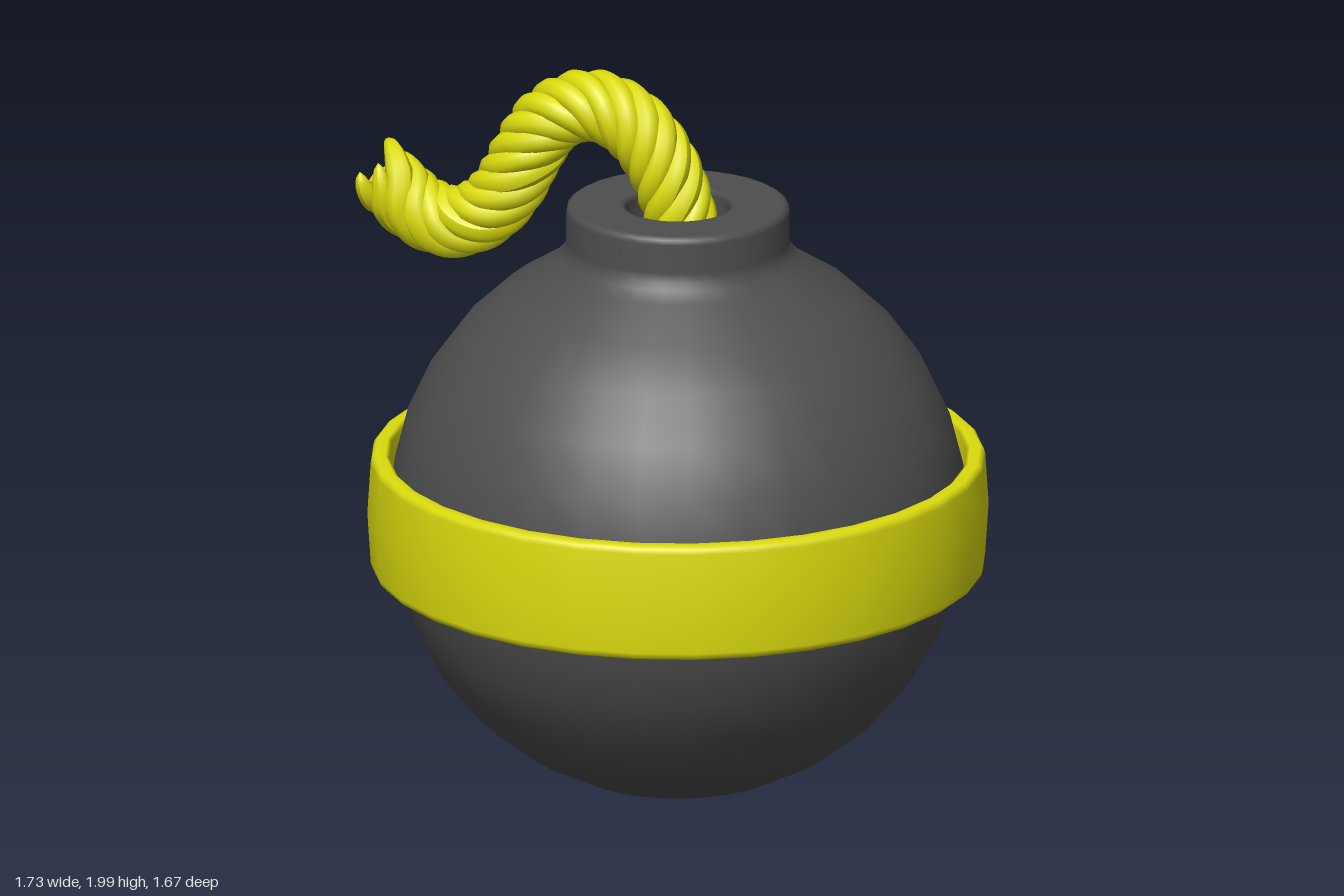
import * as THREE from 'three';

const iron = new THREE.MeshStandardMaterial({ color: 0x4e4e4e });
iron.name = 'dark iron';
const yellow = new THREE.MeshStandardMaterial({ color: 0xdcdc0e, side: THREE.DoubleSide });
yellow.name = 'yellow';

const CX = 0.05; // the round body sits slightly left of the origin
const STRANDS = 6;
const TURNS = 3.6;

const lathe = (name, profile, material) => {
  const geometry = new THREE.LatheGeometry(profile.map(([r, y]) => new THREE.Vector2(r, y)), 32);
  const mesh = new THREE.Mesh(geometry, material);
  mesh.name = name;
  mesh.position.x = CX;
  return mesh;
};

// Centre line of the fuse, lying in the z = 0 plane
const fusePath = new THREE.CatmullRomCurve3([
  [0.08, 1.46], [0.055, 1.62], [0, 1.765], [-0.09, 1.867], [-0.2, 1.9], [-0.305, 1.855],
  [-0.37, 1.765], [-0.42, 1.665], [-0.495, 1.57], [-0.6, 1.527], [-0.7, 1.56],
  [-0.77, 1.625], [-0.83, 1.66],
].map(([x, y]) => new THREE.Vector3(x, y, 0)), false, 'centripetal');

// One strand winding round the fuse centre line
class StrandCurve extends THREE.Curve {
  constructor(phase, end) {
    super();
    this.phase = phase;
    this.end = end;
  }
  getPoint(t, target = new THREE.Vector3()) {
    const u = t * this.end;
    const p = fusePath.getPointAt(u);
    const tan = fusePath.getTangentAt(u);
    const a = this.phase + u * TURNS * Math.PI * 2;
    const r = 0.062 + 0.02 * THREE.MathUtils.smoothstep(u, 0.93, 1);
    return target.set(
      p.x - tan.y * Math.cos(a) * r,
      p.y + tan.x * Math.cos(a) * r,
      Math.sin(a) * r,
    );
  }
}

// Tube whose last rings shrink to a frayed tip
function strandGeometry(curve) {
  const rings = 130, sides = 10;
  const geometry = new THREE.TubeGeometry(curve, rings, 0.037, sides, false);
  const pos = geometry.attributes.position;
  const v = new THREE.Vector3();
  for (let i = rings - 7; i <= rings; i++) {
    const s = Math.sqrt((rings - i) / 8);
    const centre = curve.getPointAt(i / rings);
    for (let j = 0; j <= sides; j++) {
      const k = i * (sides + 1) + j;
      v.fromBufferAttribute(pos, k).sub(centre).multiplyScalar(s).add(centre);
      pos.setXYZ(k, v.x, v.y, v.z);
    }
  }
  geometry.computeVertexNormals();
  return geometry;
}

export function createModel() {
  const model = new THREE.Group();
  model.name = 'roundBomb';

  // Ball, running up into the collar and down inside the fuse hole
  const ball = [];
  for (let i = 0; i <= 14; i++) {
    const a = (i / 14) * 2.68;
    ball.push([0.775 * Math.sin(a), 0.783 - 0.775 * Math.cos(a)]);
  }
  model.add(lathe('body', [
    ...ball,
    [0.318, 1.508], [0.304, 1.525], [0.3, 1.55], [0.3, 1.63], [0.297, 1.643], [0.287, 1.65],
    [0.28, 1.65], [0.16, 1.65], [0.147, 1.647], [0.14, 1.635], [0.14, 1.47], [0.135, 1.45], [0, 1.45],
  ], iron));

  // Band around the middle
  model.add(lathe('belt', [
    [0.77, 0.79], [0.77, 0.635], [0.775, 0.63], [0.812, 0.63], [0.821, 0.637], [0.825, 0.65],
    [0.834, 0.79], [0.825, 0.93], [0.821, 0.943], [0.812, 0.95], [0.785, 0.95], [0.775, 0.942],
    [0.77, 0.79],
  ], yellow));

  // Twisted rope fuse with uneven ends
  const fuse = new THREE.Group();
  fuse.name = 'fuse';
  const ends = [1, 0.975, 0.99, 0.965, 1, 0.98];
  for (let i = 0; i < STRANDS; i++) {
    const curve = new StrandCurve((i / STRANDS) * Math.PI * 2, ends[i]);
    const strand = new THREE.Mesh(strandGeometry(curve), yellow);
    strand.name = 'fuseStrand';
    fuse.add(strand);
  }
  model.add(fuse);
  return model;
}
